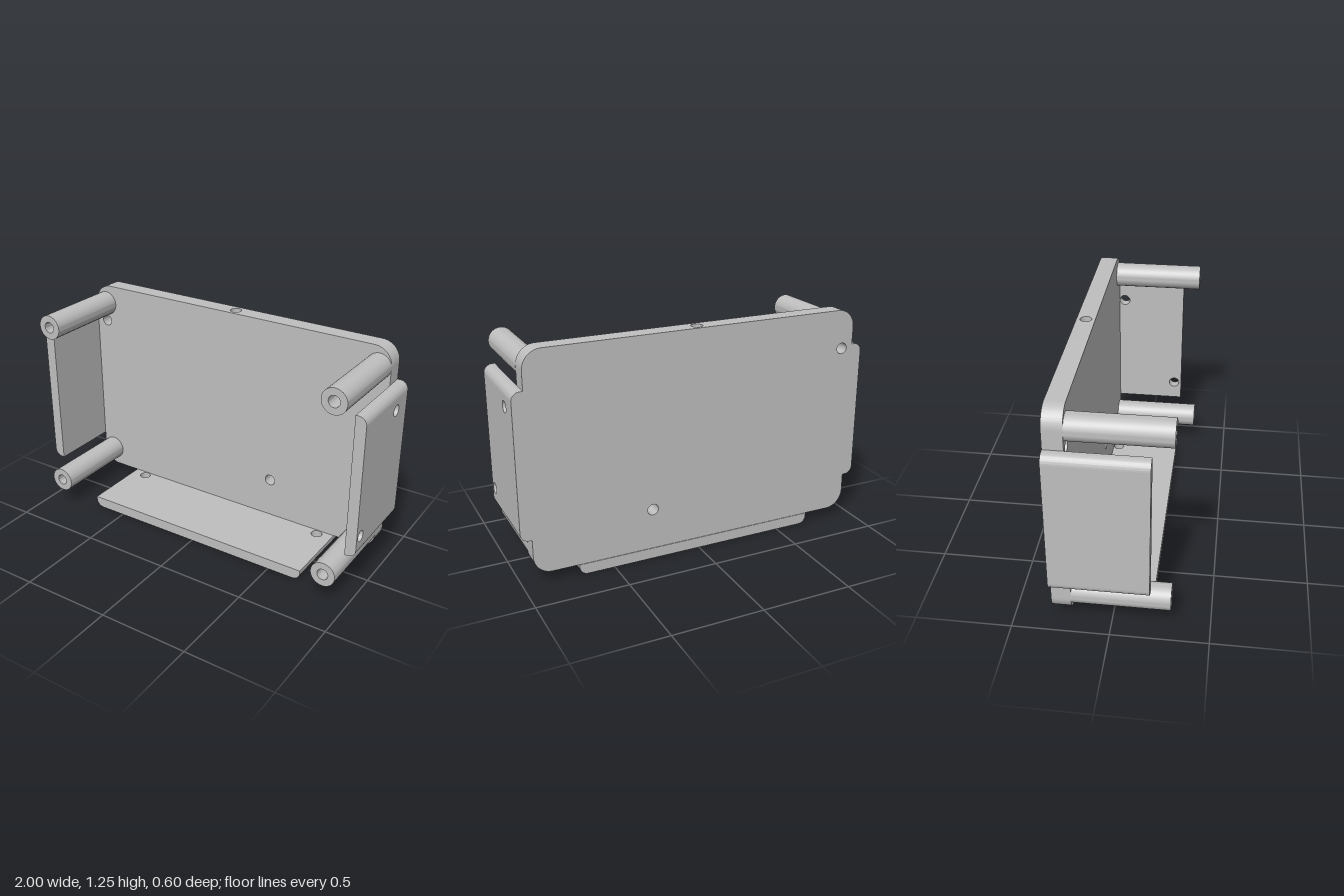
import * as THREE from 'three';
import { toCreasedNormals } from 'three/addons/utils/BufferGeometryUtils.js';

const grey = new THREE.MeshStandardMaterial({ color: 0xbfbfbf });
grey.name = 'plain grey';

const HOLE = 0.031;
const BACK = -0.3; // rear of plate and flanges
const FLANGE_FRONT = 0.2;

function addHole(shape, x, y, r = HOLE) {
  shape.holes.push(new THREE.Path().absarc(x, y, r, 0, Math.PI * 2, true));
}

function extrude(shape, depth) {
  const g = new THREE.ExtrudeGeometry(shape, { depth, bevelEnabled: false, curveSegments: 24 });
  return toCreasedNormals(g, 0.6);
}

function rectShape(x0, y0, x1, y1) {
  return new THREE.Shape([[x0, y0], [x1, y0], [x1, y1], [x0, y1]].map(p => new THREE.Vector2(...p)));
}

function part(name, geometry, parent) {
  const mesh = new THREE.Mesh(geometry, grey);
  mesh.name = name;
  parent.add(mesh);
  return mesh;
}

// Rounded back plate, with a slot in its top edge for the drilled block
function backPlate(parent) {
  const w = 0.94, y0 = 0.062, y1 = 1.25, r = 0.1, slot = 0.05, slotDepth = 0.12;
  const s = new THREE.Shape();
  s.moveTo(-w + r, y0);
  s.lineTo(w - r, y0);
  s.absarc(w - r, y0 + r, r, -Math.PI / 2, 0);
  s.absarc(w - r, y1 - r, r, 0, Math.PI / 2);
  s.lineTo(slot, y1);
  s.lineTo(slot, y1 - slotDepth);
  s.lineTo(-slot, y1 - slotDepth);
  s.lineTo(-slot, y1);
  s.absarc(-w + r, y1 - r, r, Math.PI / 2, Math.PI);
  s.absarc(-w + r, y0 + r, r, Math.PI, Math.PI * 1.5);
  addHole(s, -0.873, 1.033);
  addHole(s, 0.275, 0.29);
  part('backPlate', extrude(s, 0.1), parent).position.z = BACK;

  // Block with the vertical hole in the top edge
  const block = rectShape(-slot, -0.05, slot, 0.05);
  addHole(block, 0, 0);
  const g = extrude(block, slotDepth).rotateX(-Math.PI / 2);
  part('topHoleBlock', g, parent).position.set(0, y1 - slotDepth, -0.25);
}

// Flange lying along x with its outer face at y = 0; holes are [x, z]
function flange(name, length, holes) {
  const group = new THREE.Group();
  group.name = name;
  const t = 0.06, r = 0.045, half = length / 2;

  const slab = rectShape(-half + r, -FLANGE_FRONT, half - r, -BACK);
  holes.forEach(([x, z]) => addHole(slab, x, -z));
  part('flangeSlab', extrude(slab, t).rotateX(-Math.PI / 2), group);

  // Rounded ends
  const end = new THREE.Shape();
  end.moveTo(0, 0);
  end.absarc(0, r, r, -Math.PI / 2, 0);
  end.lineTo(r, t);
  end.lineTo(0, t);
  const g = extrude(end, FLANGE_FRONT - BACK);
  const right = part('flangeEnd', g, group);
  right.position.set(half - r, 0, BACK);
  const left = part('flangeEnd', g, group);
  left.rotation.y = Math.PI;
  left.position.set(-half + r, 0, FLANGE_FRONT);
  return group;
}

export function createModel() {
  const model = new THREE.Group();
  model.name = 'mountingBracket';

  backPlate(model);

  const bottom = flange('bottomFlange', 1.39, [[-0.605, -0.168], [0.605, -0.168]]);
  model.add(bottom);

  const leftSide = flange('leftFlange', 0.79, [[0.285, -0.168], [-0.285, 0.155]]);
  leftSide.rotation.z = Math.PI / 2;
  leftSide.position.set(1, 0.655, 0);
  model.add(leftSide);

  const rightSide = flange('rightFlange', 0.79, []);
  rightSide.rotation.z = -Math.PI / 2;
  rightSide.position.set(-1, 0.655, 0);
  model.add(rightSide);

  // Four hollow posts standing on the plate
  const ring = new THREE.Shape().absarc(0, 0, 0.069, 0, Math.PI * 2);
  addHole(ring, 0, 0);
  const post = extrude(ring, 0.5);
  for (const x of [-0.872, 0.872]) {
    for (const y of [0.171, 1.142]) {
      part('post', post, model).position.set(x, y, -0.2);
    }
  }
  return model;
}
